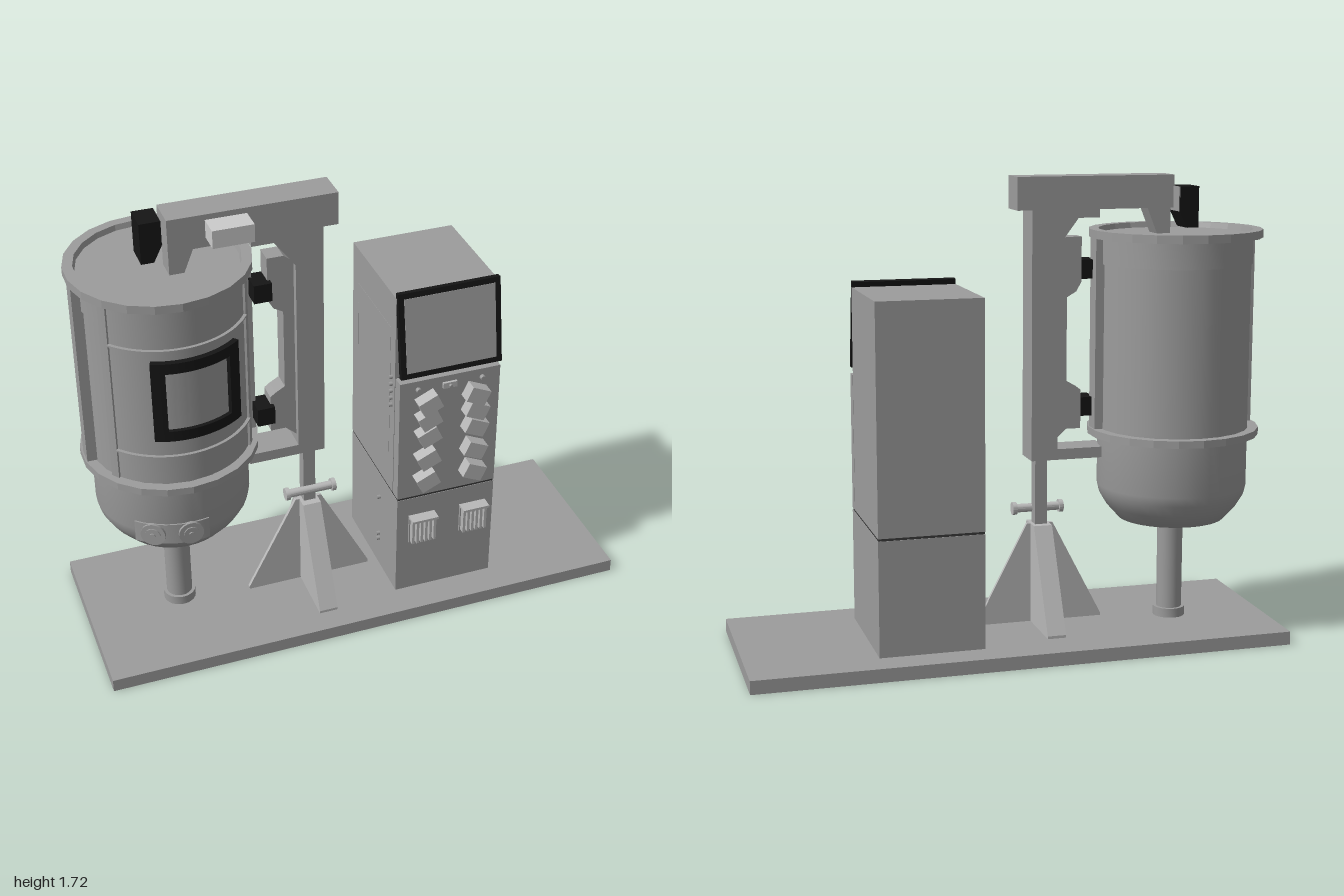
import * as THREE from 'three';
import { toCreasedNormals } from 'three/addons/utils/BufferGeometryUtils.js';

const paint = color => new THREE.MeshStandardMaterial({ color, side: THREE.DoubleSide });
const steel = paint(0x9c9c9c);
const pale = paint(0xb8b8b8);
const light = paint(0xcccccc);
const dark = paint(0x3a3a3a);
const black = paint(0x151515);
const V = { x: -0.645, z: -0.023 }; // vessel axis
const rad = THREE.MathUtils.degToRad;

export function createModel() {
  const model = new THREE.Group();

  function add(name, geometry, x = 0, y = 0, z = 0, material = steel, parent = model) {
    const mesh = new THREE.Mesh(geometry, material);
    mesh.name = name;
    mesh.position.set(x, y, z);
    parent.add(mesh);
    return mesh;
  }
  // Box given by its extents
  const box = (name, x0, x1, y0, y1, z0, z1, material = steel, parent = model) =>
    add(name, new THREE.BoxGeometry(x1 - x0, y1 - y0, z1 - z0),
      (x0 + x1) / 2, (y0 + y1) / 2, (z0 + z1) / 2, material, parent);
  // Flat plate from an xy outline, centred on z = 0
  const plate = (points, depth) =>
    new THREE.ExtrudeGeometry(new THREE.Shape(points.map(p => new THREE.Vector2(...p))),
      { depth, bevelEnabled: false }).translate(0, 0, -depth / 2);
  // Round part from a profile of [radius, height]
  const turned = (profile, sides = 40, crease = 0.5) => toCreasedNormals(
    new THREE.LatheGeometry(profile.map(p => new THREE.Vector2(...p)), sides), crease);
  // Short cylinder facing +z
  const disc = (r, depth) => new THREE.CylinderGeometry(r, r, depth, 20).rotateX(Math.PI / 2);
  // Curved slab on the vessel wall, angles in degrees from the front towards +x
  function sector(name, r0, r1, a0, a1, y0, y1, material, parent) {
    const s = rad(a0 - 90), e = rad(a1 - 90);
    const shape = new THREE.Shape();
    shape.absarc(0, 0, r1, s, e, false);
    shape.absarc(0, 0, r0, e, s, true);
    const g = new THREE.ExtrudeGeometry(shape,
      { depth: y1 - y0, bevelEnabled: false, curveSegments: 16 });
    return add(name, toCreasedNormals(g.rotateX(-Math.PI / 2), 0.5), V.x, y0, V.z, material, parent);
  }

  box('basePlate', -1, 1, 0, 0.05, -0.357, 0.357);

  // Vessel: bowl, wall, recessed lid, faceted flanges and stem
  add('vesselBody', turned([[0, 0.44], [0.2, 0.44], [0.245, 0.49], [0.272, 0.535], [0.28, 0.57],
    [0.28, 0.8], [0.28, 1.4], [0.286, 1.4], [0.286, 1.505], [0, 1.505]], 40, 0.95), V.x, 0, V.z);
  for (const [y0, y1] of [[0.763, 0.79], [1.495, 1.525]])
    add('flange', turned([[0.276, y0], [0.32, y0], [0.32, y1], [0.284, y1], [0.276, y0]], 22, 0.2), V.x, 0, V.z);
  add('stem', turned([[0.06, 0.05], [0.06, 0.085], [0.048, 0.085], [0.048, 0.44]], 24), V.x, 0, V.z);
  for (const side of [-1, 1]) {
    const x = V.x + side * 0.293;
    box('sideRail', x - 0.018, x + 0.018, 0.79, 1.495, V.z - 0.015, V.z + 0.05);
  }

  // Curved door with ribs and a framed window
  const door = new THREE.Group();
  door.name = 'vesselDoor';
  model.add(door);
  sector('doorShell', 0.275, 0.294, -55, 62, 0.8, 1.49, steel, door);
  for (const a of [-53, 60]) sector('doorStile', 0.28, 0.302, a - 3, a + 3, 0.8, 1.49, steel, door);
  for (const y of [0.917, 1.342]) sector('doorRib', 0.28, 0.306, -50, 57, y - 0.003, y + 0.003, steel, door);
  sector('windowPane', 0.285, 0.3, -20, 37, 1.02, 1.27, steel, door);
  for (const y of [0.99, 1.26]) sector('windowFrameRail', 0.285, 0.315, -22, 40, y, y + 0.04, black, door);
  for (const a of [-22, 31]) sector('windowFrameStile', 0.285, 0.315, a, a + 9, 1.02, 1.27, black, door);

  // Pair of round ports on a curved backing plate
  sector('portPlate', 0.26, 0.285, -43, 12, 0.527, 0.61, steel, model);
  for (const angle of [-29, -2]) {
    const port = new THREE.Group();
    port.name = 'bowlPort';
    port.position.set(V.x, 0.568, V.z);
    port.rotation.y = rad(angle);
    model.add(port);
    for (const [r, z] of [[0.045, 0.277], [0.028, 0.281], [0.01, 0.286]])
      add('portDisc', disc(r, 0.03), 0, 0, z, steel, port);
  }

  // Lifting column with overhead arm, hinge bracket and lower shelf
  const cz = 0.032;
  add('columnAndArm', plate([[-0.095, 0.68], [-0.095, 1.6], [-0.04, 1.6], [-0.04, 1.72], [-0.635, 1.72],
    [-0.635, 1.6], [-0.35, 1.6], [-0.35, 1.57], [-0.27, 1.57], [-0.195, 1.47], [-0.195, 0.72],
    [-0.38, 0.72], [-0.38, 0.68]], 0.12), 0, 0, cz);
  add('armFoot', plate([[-0.63, 1.6], [-0.63, 1.5], [-0.58, 1.5], [-0.54, 1.6]], 0.08), 0, 0, cz);
  add('hingeBracket', plate([[-0.19, 0.75], [-0.19, 1.47], [-0.23, 1.5], [-0.29, 1.5], [-0.29, 1.335],
    [-0.27, 1.3], [-0.235, 1.28], [-0.235, 0.97], [-0.27, 0.95], [-0.29, 0.935], [-0.29, 0.79],
    [-0.235, 0.79]], 0.07), 0, 0, cz);
  for (const y of [0.87, 1.38])
    box('hinge', -0.345, -0.28, y - 0.035, y + 0.035, 0, 0.09, black);
  box('armMotor', -0.505, -0.36, 1.635, 1.7, 0.09, 0.175, light);
  add('lidDrive', plate([[-0.71, 1.53], [-0.665, 1.53], [-0.635, 1.59], [-0.635, 1.68], [-0.71, 1.68]], 0.1),
    0, 0, -0.035, black);
  box('drivePlate', -0.637, -0.633, 1.59, 1.68, -0.085, 0.015);

  // Pedestal made of crossed gussets, with a post and a cross roller
  const px = -0.143;
  const fin = w => [[-w, 0.05], [w, 0.05], [w, 0.06], [0.05, 0.43], [-0.05, 0.43], [-w, 0.06]];
  add('sideGusset', plate(fin(0.242), 0.014), px, 0, cz, pale);
  add('deepGusset', plate(fin(0.233), 0.07).rotateY(Math.PI / 2), px, 0, cz, pale);
  box('post', px - 0.023, px + 0.023, 0.4, 0.69, cz - 0.023, cz + 0.023);
  add('crossRoller', turned([[0, -0.098], [0.024, -0.098], [0.024, -0.082], [0.016, -0.082], [0.016, 0.082],
    [0.024, 0.082], [0.024, 0.098], [0, 0.098]], 16).rotateZ(Math.PI / 2), px, 0.483, 0.06, pale);

  // Control cabinet with dark seams between its parts
  const [x0, x1] = [0.139, 0.527];
  box('cabinetBase', x0, x1, 0.05, 0.476, -0.245, 0.235);
  box('cabinetSeam', x0 + 0.002, x1 - 0.002, 0.47, 0.49, -0.243, 0.233, dark);
  box('cabinetTop', x0, x1, 0.485, 1.32, -0.245, 0.185);
  box('controlPanel', x0, x1, 0.485, 0.995, 0.19, 0.235);
  box('panelSeam', x0 + 0.002, x1 - 0.002, 0.49, 0.993, 0.18, 0.195, dark);
  box('sideHatch', x0 - 0.001, x0 + 0.01, 0.64, 1.18, -0.19, 0.14);
  box('hatchHandle', x0 - 0.002, x0, 0.92, 1.1, -0.185, -0.18);

  // Tilted display
  const display = new THREE.Group();
  display.name = 'display';
  display.position.set(0.333, 1.18, 0.213);
  display.rotation.x = rad(-9);
  model.add(display);
  box('displayHousing', -0.193, 0.193, -0.163, 0.163, -0.014, 0.008, black, display);
  box('displayScreen', -0.172, 0.172, -0.142, 0.142, 0, 0.01, steel, display);

  // Slanted control blocks in two columns
  for (const y of [0.91, 0.845, 0.772, 0.67, 0.572])
    for (const side of [-1, 1]) {
      const key = add('controlBlock', new THREE.BoxGeometry(0.078, 0.06, 0.05),
        0.335 + side * 0.092, y, 0.258, pale);
      key.rotation.z = rad(-25 * side);
    }
  for (const x of [0.209, 0.457]) add('indicator', disc(0.01, 0.02), x, 0.96, 0.24);
  box('keySwitch', 0.303, 0.357, 0.947, 0.97, 0.235, 0.245, pale);
  add('keyKnob', disc(0.006, 0.02), 0.33, 0.958, 0.245);

  // Slatted connector blocks on the cabinet base
  for (const x of [0.237, 0.443]) {
    box('connectorBack', x - 0.052, x + 0.052, 0.275, 0.395, 0.235, 0.245);
    box('connectorTop', x - 0.052, x + 0.052, 0.388, 0.398, 0.235, 0.28, pale);
    for (let i = 0; i < 6; i++) {
      const sx = x - 0.043 + i * 0.0172;
      box('connectorSlat', sx - 0.005, sx + 0.005, 0.285, 0.39, 0.24, 0.268, pale);
    }
  }

  // Small fittings on the cabinet side
  for (const [y, z] of [[0.985, 0.16], [0.955, 0.16], [0.925, 0.16], [0.895, 0.16], [0.865, 0.16],
    [0.375, 0.06], [0.2, 0.06], [0.175, 0.06]])
    add('sideFitting', new THREE.CylinderGeometry(0.008, 0.008, 0.02, 10).rotateZ(Math.PI / 2), x0 - 0.003, y, z);

  return model;
}
